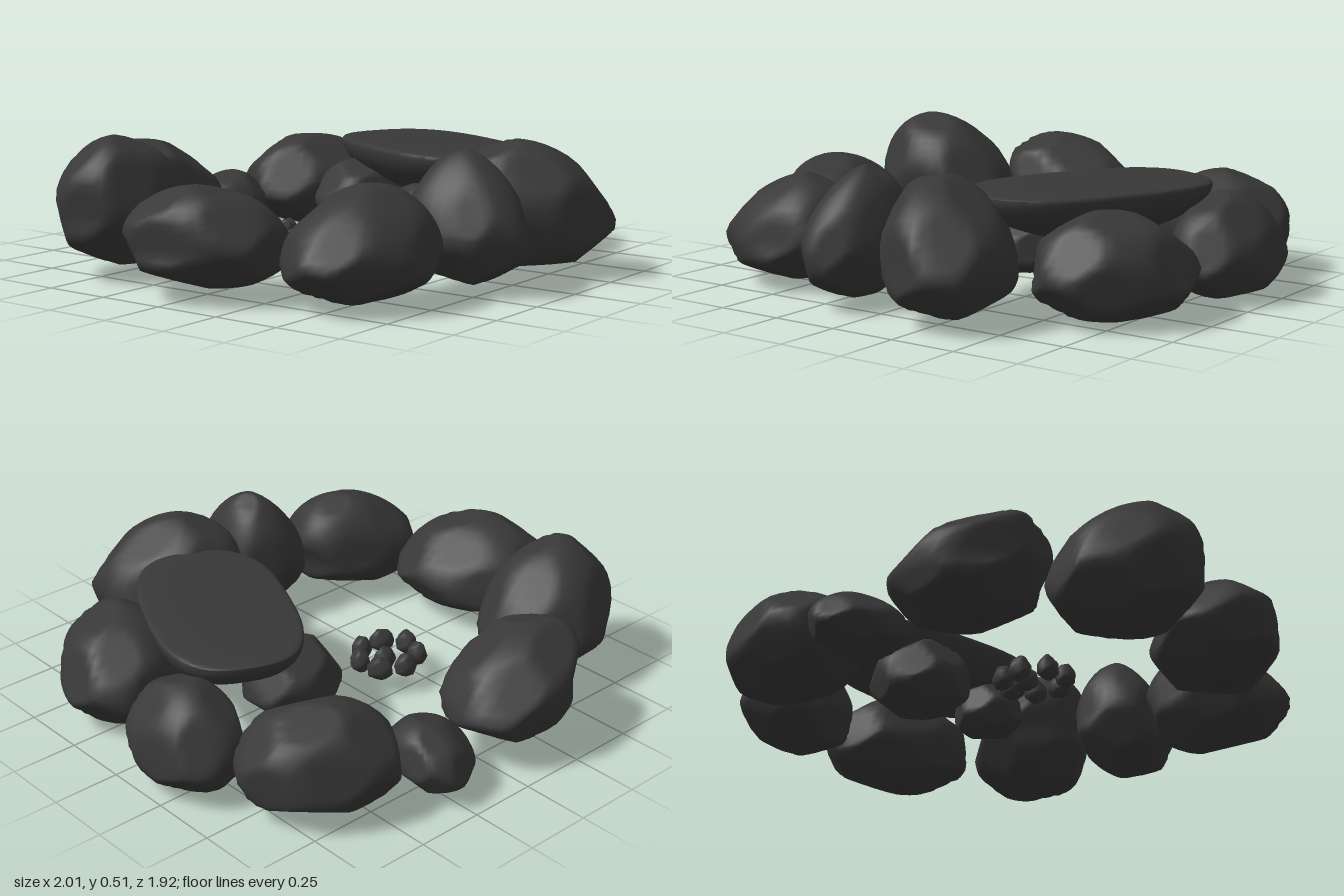
import * as THREE from 'three';
import { mergeVertices, toCreasedNormals } from 'three/addons/utils/BufferGeometryUtils.js';

const material = new THREE.MeshStandardMaterial({ color: 0x383838, roughness: 1 });
const signedPow = (v, e) => Math.sign(v) * Math.pow(Math.abs(v), e);

// Evenly spread directions, turned by the seed, along which a stone is worn flat
function facetDirections(seed, count = 16) {
  return Array.from({ length: count }, (_, i) => {
    const y = 1 - (2 * i + 1) / count, r = Math.sqrt(1 - y * y), t = i * 2.4 + seed * 1.3;
    return new THREE.Vector3(r * Math.cos(t), y, r * Math.sin(t));
  });
}

// A stone: a superellipsoid, worn flat in places, then sized, turned and leaned.
// x, z: centre; a, b: half lengths; deg: turn from +x towards +z; y0, y1: bottom and top;
// px, pz: how far the peak leans; wide: relative height of the widest level;
// power, under: roundness above and below it; corner: squareness of the outline;
// taper: narrowing along the long axis; wear: distance of the flat spots.
function stoneGeometry({
  x, z, a, b, deg, y0, y1, px = 0, pz = 0, wide = 0.38, power = 1.9, under = 2.2,
  corner = 0.86, taper = 0, wear = 0.92, seed = 0, segments = 40, half = 12,
}) {
  const turn = THREE.MathUtils.degToRad(deg);
  const yWide = y0 + (y1 - y0) * wide;
  const facets = facetDirections(seed);
  const pos = [], index = [], p = new THREE.Vector3();
  for (let k = -half; k <= half; k++) {
    const lat = (k / half) * Math.PI / 2;
    const e = 2 / (k < 0 ? under : power);
    const scale = Math.abs(k) === half ? 0 : Math.pow(Math.cos(lat), e);
    for (let i = 0; i < segments; i++) {
      const t = (i / segments) * Math.PI * 2;
      p.set(scale * signedPow(Math.cos(t), corner), signedPow(Math.sin(lat), e), scale * signedPow(Math.sin(t), corner));
      for (const d of facets) p.addScaledVector(d, -Math.max(0, p.dot(d) - wear));
      const lean = Math.max(0, p.y);
      const u = a * p.x, v = b * p.z * (1 + taper * p.x);
      pos.push(
        x + px * lean + u * Math.cos(turn) - v * Math.sin(turn),
        yWide + p.y * (p.y < 0 ? yWide - y0 : y1 - yWide),
        z + pz * lean + u * Math.sin(turn) + v * Math.cos(turn));
      if (k === half) continue;
      const row = (k + half) * segments, m = row + i, n = row + (i + 1) % segments;
      index.push(m, m + segments, n, n, m + segments, n + segments);
    }
  }
  const geo = new THREE.BufferGeometry();
  geo.setAttribute('position', new THREE.Float32BufferAttribute(pos, 3));
  geo.setIndex(index);
  const merged = mergeVertices(geo, 1e-5);
  merged.computeVertexNormals();
  return merged;
}

// Ring of boulders: name, x, z, a, b, deg, y0, y1, px, pz, power, taper
const boulders = [
  ['rightStone', -0.77, 0.03, 0.3, 0.23, 70, 0.04, 0.39, -0.06, 0, 1.9, 0],
  ['backRightStone', -0.645, -0.485, 0.27, 0.23, -10, 0.04, 0.51, -0.07, 0.03, 1.8, 0.08],
  ['backStone', -0.175, -0.73, 0.265, 0.225, -20, 0.06, 0.43, -0.12, 0, 2.1, 0],
  ['smallBackStone', 0.225, -0.765, 0.18, 0.145, -65, 0.02, 0.25, 0.03, 0.03, 1.8, -0.2],
  ['backLeftStone', 0.585, -0.585, 0.285, 0.225, 32, 0.01, 0.38, 0, 0, 2, 0],
  ['leftStone', 0.825, -0.17, 0.245, 0.18, 95, 0, 0.38, -0.02, 0, 1.9, 0],
  ['frontLeftStone', 0.7, 0.365, 0.295, 0.22, -55, 0.01, 0.38, -0.02, 0.03, 1.9, 0],
  ['frontStone', 0.25, 0.68, 0.295, 0.23, 60, 0.02, 0.49, -0.08, -0.03, 1.9, 0],
  ['smallFrontStone', -0.175, 0.68, 0.23, 0.175, 90, 0.03, 0.49, 0.03, -0.04, 1.6, -0.2],
  ['frontRightStone', -0.6, 0.535, 0.28, 0.225, 20, 0.02, 0.41, 0.08, -0.01, 1.7, 0],
];

export function createModel() {
  const model = new THREE.Group();
  const add = (name, geo, parent = model) => {
    const mesh = new THREE.Mesh(geo, material);
    mesh.name = name;
    parent.add(mesh);
  };

  boulders.forEach(([name, x, z, a, b, deg, y0, y1, px, pz, power, taper], seed) => {
    add(name, stoneGeometry({ x, z, a, b, deg, y0, y1, px, pz, power, taper, seed }));
  });

  // Two smaller stones under the slab's inner edge
  add('innerStoneBack', stoneGeometry({ x: 0.32, z: -0.135, a: 0.185, b: 0.17, deg: 0, y0: 0.06, y1: 0.34, power: 2.2, seed: 2 }));
  add('innerStoneFront', stoneGeometry({ x: 0.215, z: 0.215, a: 0.13, b: 0.12, deg: 0, y0: 0.08, y1: 0.29, power: 2.2, seed: 4 }));

  // Flat-topped slab resting on the stones, tapering underneath
  const slab = stoneGeometry({
    x: 0.435, z: 0.12, a: 0.45, b: 0.265, deg: -65, y0: 0.22, y1: 0.415, wide: 0.88,
    power: 6, under: 1.8, corner: 0.72, wear: 2, segments: 48,
  });
  add('flatSlab', toCreasedNormals(slab, 0.7));

  // Pebble cluster: seven in a circle and one in the middle
  const pebbles = new THREE.Group();
  pebbles.name = 'pebbles';
  model.add(pebbles);
  const addPebble = (x, z, seed) => add('pebble', stoneGeometry({
    x, z, a: 0.046 + 0.006 * Math.sin(seed * 2), b: 0.04, deg: seed * 50, y0: 0.055, y1: 0.15,
    power: 2, wear: 0.86, seed, segments: 14, half: 5,
  }), pebbles);
  for (let i = 0; i < 7; i++) {
    const t = -1.5 + (i / 7) * Math.PI * 2;
    addPebble(-0.15 + 0.115 * Math.cos(t), -0.145 + 0.105 * Math.sin(t), i);
  }
  addPebble(-0.12, -0.16, 7);

  return model;
}
